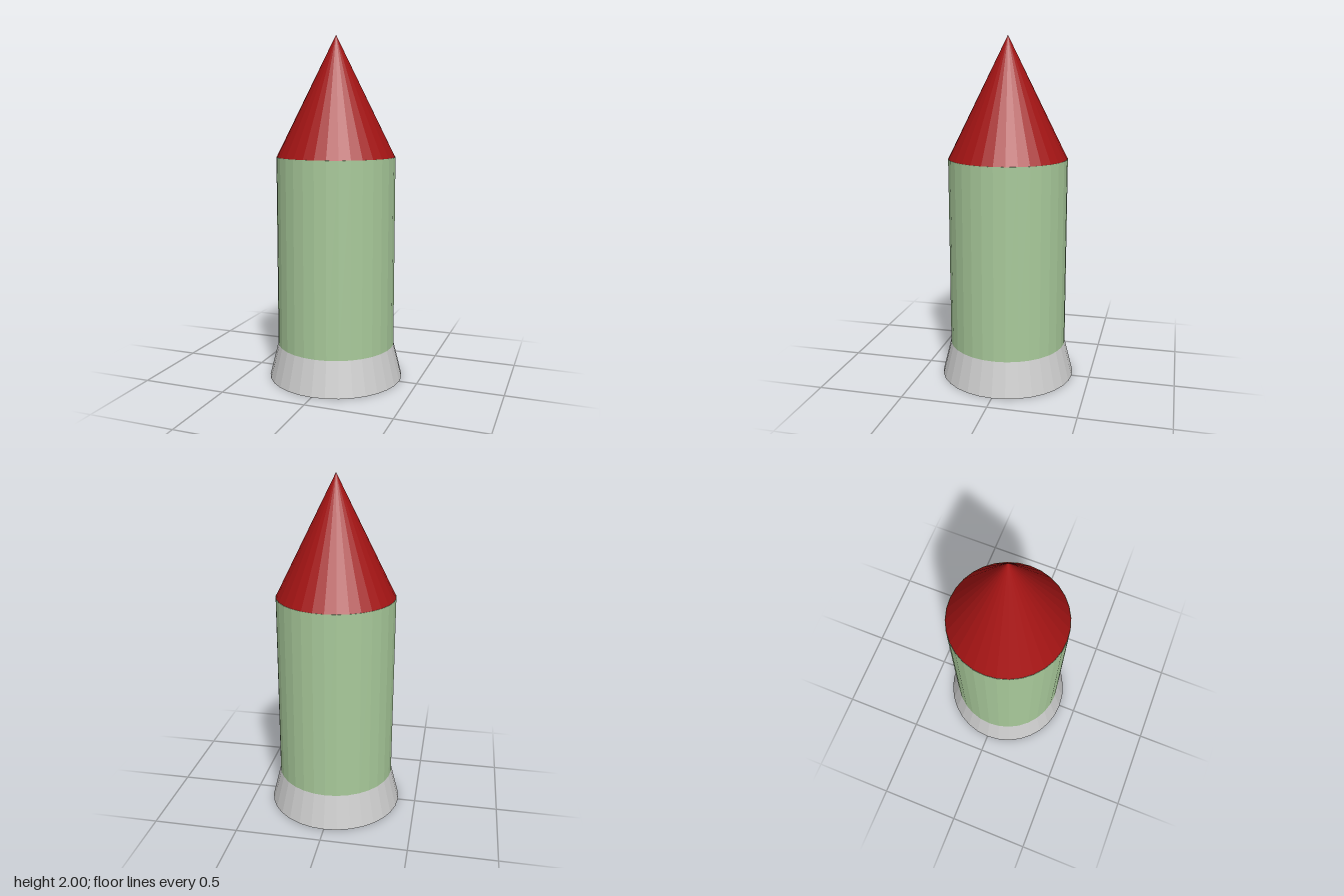
import * as THREE from 'three';

const SIDES = 32;
const BASE_TOP = 0.2, BODY_TOP = 1.31, TIP = 2;
const BODY_RADIUS = 0.345, BASE_RADIUS = 0.395;

// One faceted round section standing between two heights
function section(name, topRadius, bottomRadius, y0, y1, color) {
  const geometry = new THREE.CylinderGeometry(topRadius, bottomRadius, y1 - y0, SIDES);
  const material = new THREE.MeshStandardMaterial({ color, flatShading: true });
  const mesh = new THREE.Mesh(geometry, material);
  mesh.name = name;
  mesh.position.y = (y0 + y1) / 2;
  return mesh;
}

export function createModel() {
  const rocket = new THREE.Group();
  rocket.name = 'rocket';
  rocket.add(
    // Flared skirt at the bottom
    section('flaredBase', BODY_RADIUS, BASE_RADIUS, 0, BASE_TOP, 0xcccccc),
    // Straight main tube
    section('body', BODY_RADIUS, BODY_RADIUS, BASE_TOP, BODY_TOP, 0xa8c99a),
    // Pointed nose
    section('noseCone', 0, BODY_RADIUS - 0.002, BODY_TOP, TIP, 0xa31414)
  );
  return rocket;
}
